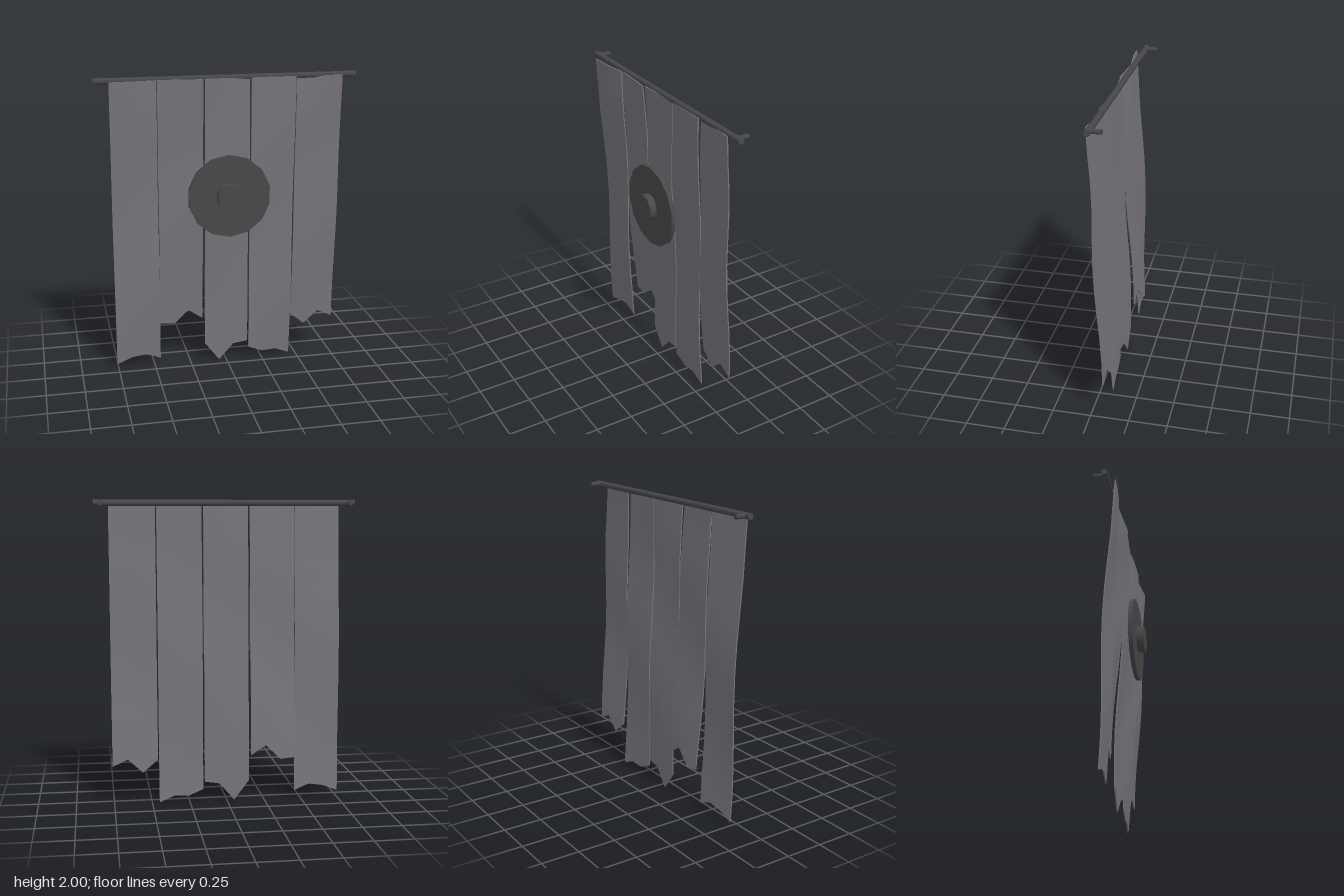
import * as THREE from 'three';

const ROWS = 10;
const TOP = 1.98;

// Each strip: left edge, right edge, ragged hem heights, top offsets in z, extra swing at the hem
const STRIPS = [
  { x0: -0.76, x1: -0.46, hem: [0.04, 0.08, 0.095, 0.055], top: [0.03, 0.026, 0.016, 0.002], swing: 0.012 },
  { x0: -0.455, x1: -0.16, hem: [0.295, 0.285, 0.38, 0.315], top: [-0.004, 0.002, 0.008, 0.016], swing: -0.032 },
  { x0: -0.148, x1: 0.148, hem: [0.135, 0.005, 0.12, 0.135], top: [0.006, 0.0, -0.008, -0.012], swing: -0.004 },
  { x0: 0.158, x1: 0.452, hem: [0.085, 0.045, 0.05, 0.01], top: [-0.008, -0.004, -0.002, 0.0], swing: -0.002 },
  { x0: 0.46, x1: 0.76, hem: [0.305, 0.22, 0.31, 0.265], top: [-0.018, -0.014, -0.006, 0.006], swing: -0.014 },
];

// A thin sheet with a ragged hem, hanging in soft ripples
function stripGeometry({ x0, x1, hem, top, swing }, index) {
  const g = new THREE.BoxGeometry(1, 1, 0.008, 3, ROWS, 1);
  const p = g.attributes.position;
  for (let i = 0; i < p.count; i++) {
    const u = p.getX(i) + 0.5;
    const col = Math.round(u * 3);
    const down = 0.5 - p.getY(i);
    const y = TOP + (hem[col] - TOP) * down;
    const ripple = 0.01 * Math.sin(down * 9 + index * 1.9 + u * 1.6) * Math.min(1, down * 4);
    const z = -0.005 - 0.035 * (TOP - y) + top[col] * Math.max(0, 1 - down * 3) + swing * down * down + ripple;
    p.setXYZ(i, x0 + (x1 - x0) * u, y, p.getZ(i) + z);
  }
  g.computeVertexNormals();
  return g;
}

export function createModel() {
  const model = new THREE.Group();
  model.name = 'hangingBanner';

  const cloth = new THREE.MeshStandardMaterial({ color: 0x77757c });
  cloth.name = 'grey cloth';
  const metal = new THREE.MeshStandardMaterial({ color: 0x484848 });
  metal.name = 'dark metal';

  const add = (name, geometry, material, x, y, z) => {
    const mesh = new THREE.Mesh(geometry, material);
    mesh.name = name;
    mesh.position.set(x, y, z);
    model.add(mesh);
    return mesh;
  };

  // Rod and its two wall pegs
  add('rod', new THREE.CylinderGeometry(0.02, 0.02, 1.71, 8).rotateZ(Math.PI / 2), metal, 0, 1.98, -0.028);
  for (const side of [-1, 1]) {
    const peg = new THREE.CylinderGeometry(0.016, 0.016, 0.08, 8).rotateX(Math.PI / 2);
    add(side > 0 ? 'leftPeg' : 'rightPeg', peg, metal, side * 0.81, 1.98, -0.065);
  }

  // Cloth strips
  STRIPS.forEach((s, i) => add(`strip${i + 1}`, stripGeometry(s, i), cloth, 0, 0, 0));

  // Round plate with a central boss
  const disc = (r, depth) => new THREE.CylinderGeometry(r, r, depth, 14).rotateX(Math.PI / 2);
  add('plate', disc(0.275, 0.027), metal, 0, 1.215, 0.044);
  add('boss', disc(0.088, 0.05), metal, 0, 1.215, 0.08);

  return model;
}
